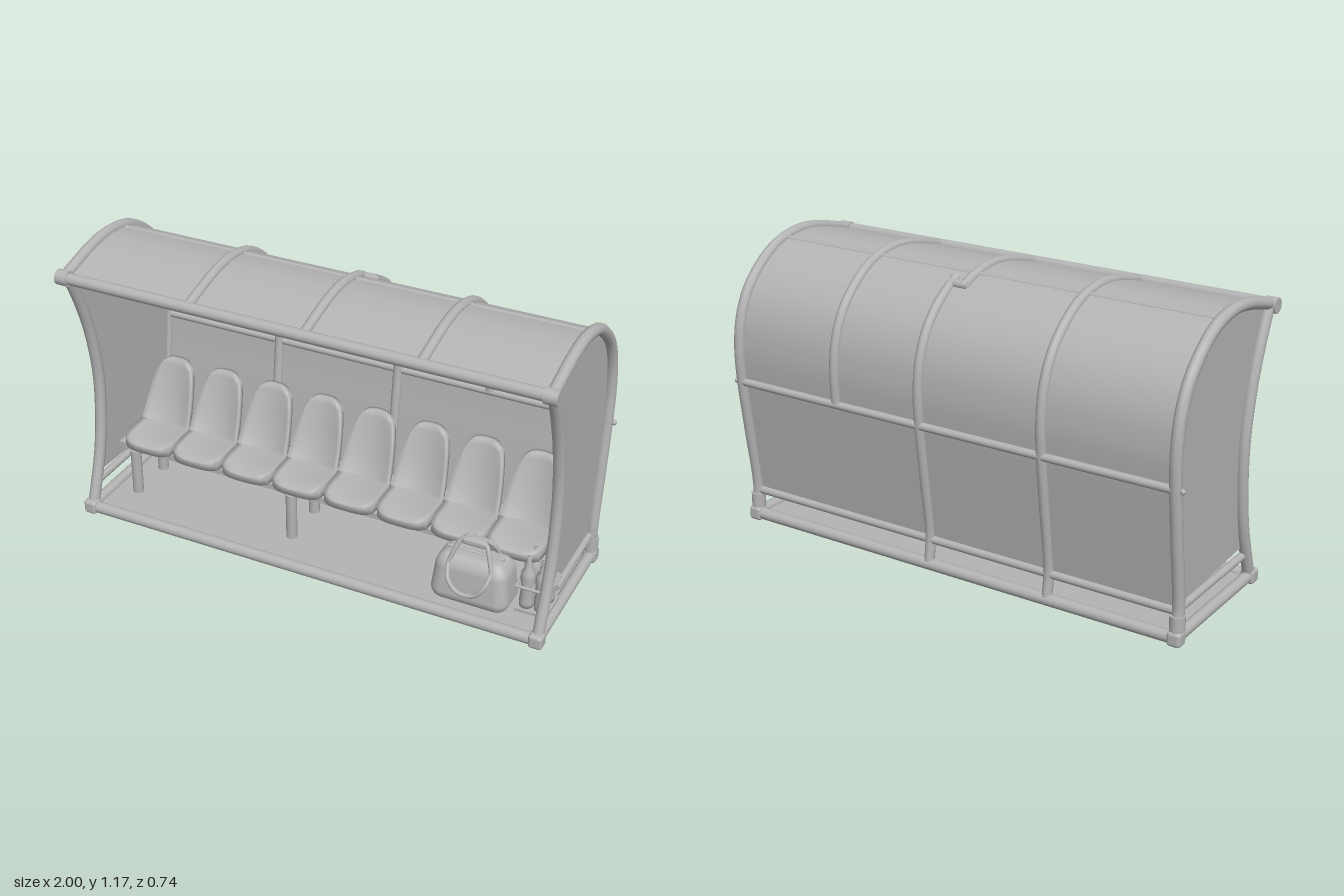
import * as THREE from 'three';
import { RoundedBoxGeometry } from 'three/addons/geometries/RoundedBoxGeometry.js';
import { mergeVertices } from 'three/addons/utils/BufferGeometryUtils.js';

const grey = new THREE.MeshStandardMaterial({ color: 0xb4b4b4 });
grey.name = 'shelterGrey';
const sheetGrey = grey.clone();
sheetGrey.name = 'panelGrey';
sheetGrey.side = THREE.DoubleSide;

const V = (x, y, z) => new THREE.Vector3(x, y, z);

// Side outlines as [z, y]: back-and-roof arch, and bowed front post
const ARCH = [[-0.295, 0.04], [-0.285, 0.14], [-0.318, 0.4], [-0.345, 0.62], [-0.35, 0.75], [-0.332, 0.87],
  [-0.283, 0.975], [-0.2, 1.06], [-0.1, 1.12], [0.03, 1.146], [0.14, 1.138], [0.25, 1.112], [0.345, 1.085]];
const POST = [[0.285, 0.04], [0.215, 0.25], [0.187, 0.42], [0.182, 0.6], [0.215, 0.8], [0.26, 0.94], [0.32, 1.08]];
const curveOf = (pts, x = 0) => new THREE.CatmullRomCurve3(pts.map(([z, y]) => V(x, y, z)));

export function createModel() {
  const root = new THREE.Group();

  function add(name, geo, x = 0, y = 0, z = 0, parent = root, mat = grey) {
    const m = new THREE.Mesh(geo, mat);
    m.name = name;
    m.position.set(x, y, z);
    parent.add(m);
    return m;
  }
  const tube = (name, curve, r, seg = 40, parent = root) =>
    add(name, new THREE.TubeGeometry(curve, seg, r, 10), 0, 0, 0, parent);
  function bar(name, a, b, r, parent = root) {
    const m = add(name, new THREE.CylinderGeometry(r, r, a.distanceTo(b), 12), 0, 0, 0, parent);
    m.position.copy(a).add(b).multiplyScalar(0.5);
    m.quaternion.setFromUnitVectors(V(0, 1, 0), b.clone().sub(a).normalize());
  }

  // Base frame, floor and end joints
  bar('frontBaseRail', V(-0.98, 0.027, 0.295), V(0.98, 0.027, 0.295), 0.024);
  bar('backBaseRail', V(-0.98, 0.027, -0.295), V(0.98, 0.027, -0.295), 0.024);
  add('floor', new THREE.BoxGeometry(1.92, 0.012, 0.58), 0, 0.024, 0);
  for (const s of [-1, 1]) {
    const x = s * 0.962;
    bar('sideBaseRail', V(x, 0.03, 0.3), V(x, 0.03, -0.3), 0.023);
    for (const z of [0.295, -0.295])
      add('baseJoint', new RoundedBoxGeometry(0.056, 0.058, 0.056, 3, 0.014), x, 0.029, z);
    tube('frontPost', curveOf(POST, x), 0.023);
    tube('endArch', curveOf(ARCH, x), 0.023, 60);
    const joint = add('roofJoint', new THREE.CylinderGeometry(0.03, 0.03, 0.05, 14), s * 0.965, 1.083, 0.341);
    joint.rotation.z = Math.PI / 2;
    add('archFoot', new THREE.CylinderGeometry(0.029, 0.029, 0.06, 12), x, 0.085, -0.289);
    add('bolt', new THREE.SphereGeometry(0.011, 8, 6), s * 0.989, 0.61, -0.345);
  }
  bar('frontRoofRail', V(-0.98, 1.085, 0.344), V(0.98, 1.085, 0.344), 0.023);
  bar('backMiddleRail', V(-0.97, 0.612, -0.348), V(0.97, 0.612, -0.348), 0.016);
  bar('backLowerRail', V(-0.97, 0.128, -0.284), V(0.97, 0.128, -0.284), 0.017);
  bar('roofRail', V(-0.97, 1.13, -0.05), V(0.97, 1.13, -0.05), 0.011);

  // Ribs: one full, one stepped sideways over the roof, one stopping at the middle rail
  tube('leftRib', curveOf(ARCH, -0.43), 0.02, 60);
  tube('middleRibLower', curveOf(ARCH.slice(0, 9), 0.1), 0.02, 40);
  bar('middleRibStep', V(0.025, 1.105, -0.13), V(0.115, 1.105, -0.13), 0.018);
  tube('middleRibUpper', curveOf([[-0.14, 1.1], ...ARCH.slice(8)], 0.04), 0.02, 30);
  tube('rightRib', curveOf(ARCH.slice(3), 0.49), 0.02, 40);

  // Curved back and roof sheet
  const skin = new THREE.PlaneGeometry(1.92, 1, 1, 48);
  const arch = curveOf(ARCH.slice(1));
  const sp = skin.attributes.position;
  for (let i = 0; i < sp.count; i++) {
    const p = arch.getPoint(THREE.MathUtils.clamp(sp.getY(i) + 0.5, 0, 1));
    sp.setXYZ(i, sp.getX(i), p.y, p.z);
  }
  skin.computeVertexNormals();
  add('backAndRoofSheet', skin, 0, 0, 0, root, sheetGrey);

  // End panels; the one beside the bag is notched at the bottom front
  for (const s of [-1, 1]) {
    const outline = arch.getPoints(40).map(p => [p.z, p.y]);
    const front = curveOf(POST).getPoints(30).filter(p => p.y > (s > 0 ? 0.19 : 0.125)).reverse();
    outline.push(...front.map(p => [p.z, p.y]));
    if (s > 0) outline.push([0.1, 0.185], [0.1, 0.125]);
    const shape = new THREE.Shape(outline.map(([z, y]) => new THREE.Vector2(-z, y)));
    const panel = add('endPanel', new THREE.ShapeGeometry(shape), s * 0.952, 0, 0, root, sheetGrey);
    panel.rotation.y = Math.PI / 2;
    bar('endPanelRail', V(s * 0.955, 0.13, -0.285), V(s * 0.955, 0.13, s > 0 ? 0.1 : 0.25), 0.016);
  }
  bar('notchRail', V(0.955, 0.182, 0.085), V(0.955, 0.182, 0.235), 0.009);

  // Bench beams and legs
  for (const z of [0.1, -0.07])
    add('benchBeam', new THREE.BoxGeometry(1.86, 0.025, 0.04), 0, 0.234, z);
  for (const x of [-0.85, -0.135, 0.6, 0.86])
    for (const z of [0.125, -0.07])
      add('benchLeg', new THREE.CylinderGeometry(0.022, 0.022, 0.2, 12), x, 0.13, z);

  // Seats: dished pan and tapered, wrapped backrest
  function warp(source, rule) {
    source.deleteAttribute('normal');
    source.deleteAttribute('uv');
    const geo = mergeVertices(source);
    const p = geo.attributes.position, v = new THREE.Vector3();
    for (let i = 0; i < p.count; i++) {
      rule(v.fromBufferAttribute(p, i));
      p.setXYZ(i, v.x, v.y, v.z);
    }
    geo.computeVertexNormals();
    return geo;
  }
  const pan = warp(new THREE.BoxGeometry(0.216, 0.045, 0.25, 10, 2, 10), v => {
    const a = Math.abs(v.x) / 0.108, f = Math.max(0, v.z / 0.125);
    if (v.y > 0) v.y += 0.012 * a * a - 0.014 * f ** 4;
    v.z -= 0.025 * f * a ** 4;
    v.x *= 1 - 0.06 * f ** 4;
  });
  const back = warp(new THREE.BoxGeometry(0.22, 0.28, 0.026, 12, 12, 2), v => {
    const t = THREE.MathUtils.clamp(v.y / 0.28 + 0.5, 0, 1), a = Math.abs(v.x) / 0.11;
    v.x *= 1 - 0.27 * t ** 1.3 - 0.08 * t ** 8;
    v.y -= 0.03 * a ** 4 * t ** 4;
    v.z += 0.035 * a * a * (1 - 0.5 * t) - 0.085 * t + 0.03 * (1 - t) ** 4;
  });
  for (let i = 0; i < 8; i++) {
    const seat = new THREE.Group();
    seat.name = 'seat';
    seat.position.x = -0.79 + i * 0.2257;
    root.add(seat);
    add('seatPan', pan, 0, 0.268, 0.03, seat);
    add('seatBack', back, 0, 0.4, -0.055, seat);
  }

  // Sports bag with hanging and upright handles
  const bag = new THREE.Group();
  bag.name = 'bag';
  bag.position.set(0.68, 0.075, 0.215);
  root.add(bag);
  const bagBody = warp(new RoundedBoxGeometry(0.31, 0.2, 0.18, 6, 0.05), v => {
    const t = v.y / 0.2 + 0.5;
    v.x *= 1 - 0.14 * t * t;
    v.z *= 1 - 0.3 * t * t;
  });
  add('bagBody', bagBody, 0, 0.1, 0, bag);
  bar('bagZip', V(-0.11, 0.2, 0), V(0.11, 0.2, 0), 0.006, bag);
  const handle = pts => tube('bagHandle', new THREE.CatmullRomCurve3(pts.map(p => V(...p))), 0.009, 30, bag);
  handle([[-0.085, 0.17, 0.06], [-0.07, 0.12, 0.095], [-0.03, 0.08, 0.103], [0.03, 0.08, 0.103], [0.07, 0.12, 0.095], [0.085, 0.17, 0.06]]);
  handle([[-0.085, 0.17, 0.06], [-0.065, 0.23, 0.04], [-0.045, 0.265, 0.025], [0.045, 0.265, 0.025], [0.065, 0.23, 0.04], [0.085, 0.17, 0.06]]);
  handle([[-0.08, 0.17, -0.05], [-0.06, 0.23, -0.03], [0, 0.262, -0.01], [0.06, 0.23, -0.03], [0.08, 0.17, -0.05]]);
  add('bagGrip', new RoundedBoxGeometry(0.09, 0.028, 0.045, 2, 0.01), 0, 0.262, 0.015, bag);

  // Drink bottles in a carrier
  const bottle = new THREE.LatheGeometry([[0, 0], [0.026, 0], [0.028, 0.02], [0.024, 0.08], [0.028, 0.13], [0.025, 0.155],
    [0.013, 0.175], [0.015, 0.19], [0.008, 0.2], [0.008, 0.22], [0, 0.222]].map(p => new THREE.Vector2(...p)), 14);
  for (const x of [0.875, 0.933])
    for (const z of [0.12, 0.185]) add('bottle', bottle, x, 0.08, z);
  add('carrierBase', new THREE.BoxGeometry(0.125, 0.012, 0.14), 0.904, 0.076, 0.152);
  for (const z of [0.085, 0.152, 0.22]) bar('carrierCrossBar', V(0.842, 0.182, z), V(0.966, 0.182, z), 0.006);
  for (const x of [0.842, 0.904, 0.966]) bar('carrierSideBar', V(x, 0.182, 0.085), V(x, 0.182, 0.22), 0.006);
  return root;
}
